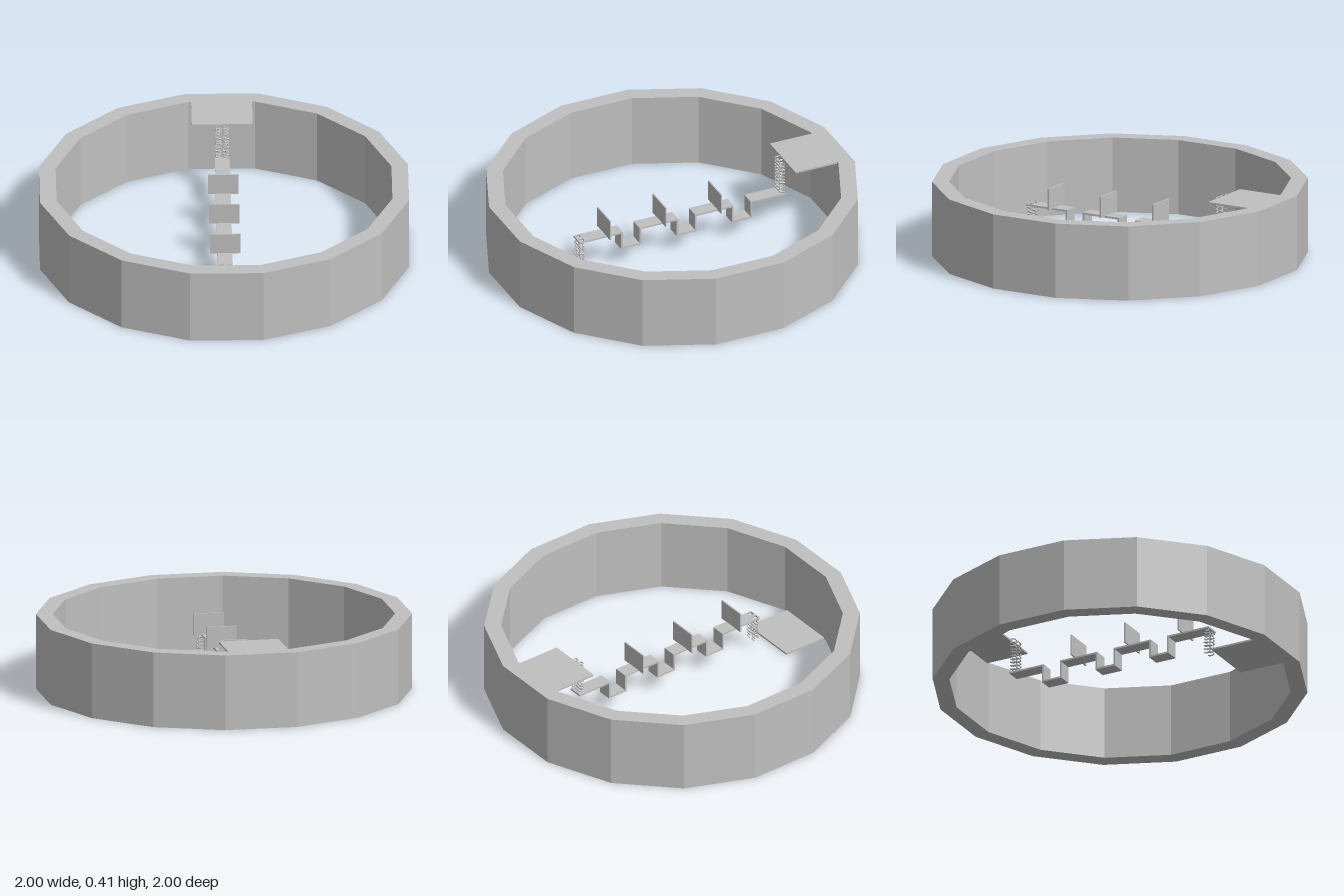
import * as THREE from 'three';

export function createModel() {
  const model = new THREE.Group();
  const grey = new THREE.MeshStandardMaterial({ color: 0xc0c0c0 });
  grey.name = 'light grey';
  const H = 0.415, T = 0.01;

  const add = (name, geometry, x = 0, y = 0, z = 0) => {
    const g = geometry.index ? geometry.toNonIndexed() : geometry;
    g.computeVertexNormals();
    const mesh = new THREE.Mesh(g, grey);
    mesh.name = name;
    mesh.position.set(x, y, z);
    model.add(mesh);
    return mesh;
  };
  const extrude = (shape, depth) => new THREE.ExtrudeGeometry(shape, { depth, bevelEnabled: false });

  // Sixteen-sided wall ring, flat sides facing the axes
  const polygon = (apothem) => {
    const r = apothem / Math.cos(Math.PI / 16);
    return Array.from({ length: 16 }, (_, i) => {
      const a = (i + 0.5) * Math.PI / 8;
      return new THREE.Vector2(r * Math.cos(a), r * Math.sin(a));
    });
  };
  const ring = new THREE.Shape(polygon(1));
  ring.holes.push(new THREE.Path(polygon(0.91)));
  add('wallRing', extrude(ring, H).rotateX(-Math.PI / 2));

  // Entry ledge high at the back, exit ledge low at the front
  add('backLedge', new THREE.BoxGeometry(0.33, T, 0.27), 0, H - T / 2, -0.795);
  add('frontLedge', new THREE.BoxGeometry(0.33, T, 0.27), 0, T / 2, 0.79);

  // Walkway: a folded strip with three troughs
  const high = 0.213, low = 0.118;
  const top = [[-0.66, high]], under = [[-0.66, high - T]];
  for (let i = 0; i < 3; i++) {
    const a = -0.45 + i * 0.331, b = a + 0.1;
    top.push([a, high], [a, low], [b, low], [b, high]);
    under.push([a - T, high - T], [a - T, low - T], [b + T, low - T], [b + T, high - T]);
  }
  top.push([0.53, high]);
  under.push([0.53, high - T]);
  const profile = [...under, ...top.reverse()].map(([z, y]) => new THREE.Vector2(z, y));
  add('walkway', extrude(new THREE.Shape(profile), 0.08).rotateY(-Math.PI / 2), 0.04);

  // Walkway end with two square openings
  const rect = (P, x0, y0, x1, y1) => new P([[x0, y0], [x1, y0], [x1, y1], [x0, y1]]
    .map(([x, y]) => new THREE.Vector2(x, y)));
  const end = rect(THREE.Shape, -0.04, -0.57, 0.04, -0.53);
  for (const s of [-1, 1]) {
    end.holes.push(rect(THREE.Path, s * 0.021 - 0.013, -0.564, s * 0.021 + 0.013, -0.538));
  }
  add('walkwayEnd', extrude(end, T).rotateX(-Math.PI / 2), 0, high - T, 0);

  // Upright panels across the walkway
  for (let i = 0; i < 3; i++) {
    add('panel', new THREE.BoxGeometry(0.166, 0.118, 0.008), 0, high + 0.056, -0.257 + i * 0.331);
  }

  // Paired square coils used as climbing columns
  const coil = (name, x, z, y0, y1, turns) => {
    const path = new THREE.CurvePath(), h = 0.0135, n = turns * 4;
    const corners = [[-h, -h], [h, -h], [h, h], [-h, h]];
    const point = (i) => new THREE.Vector3(corners[i % 4][0], y0 + (y1 - y0) * i / n, corners[i % 4][1]);
    for (let i = 0; i < n; i++) path.add(new THREE.LineCurve3(point(i), point(i + 1)));
    add(name, new THREE.TubeGeometry(path, n, 0.004, 4), x, 0, z);
  };
  for (const s of [-1, 1]) {
    coil('backCoil', s * 0.021, -0.643, high, H - 0.004, 10);
    coil('frontCoil', s * 0.021, 0.551, 0.067, high - T, 7);
  }
  return model;
}
